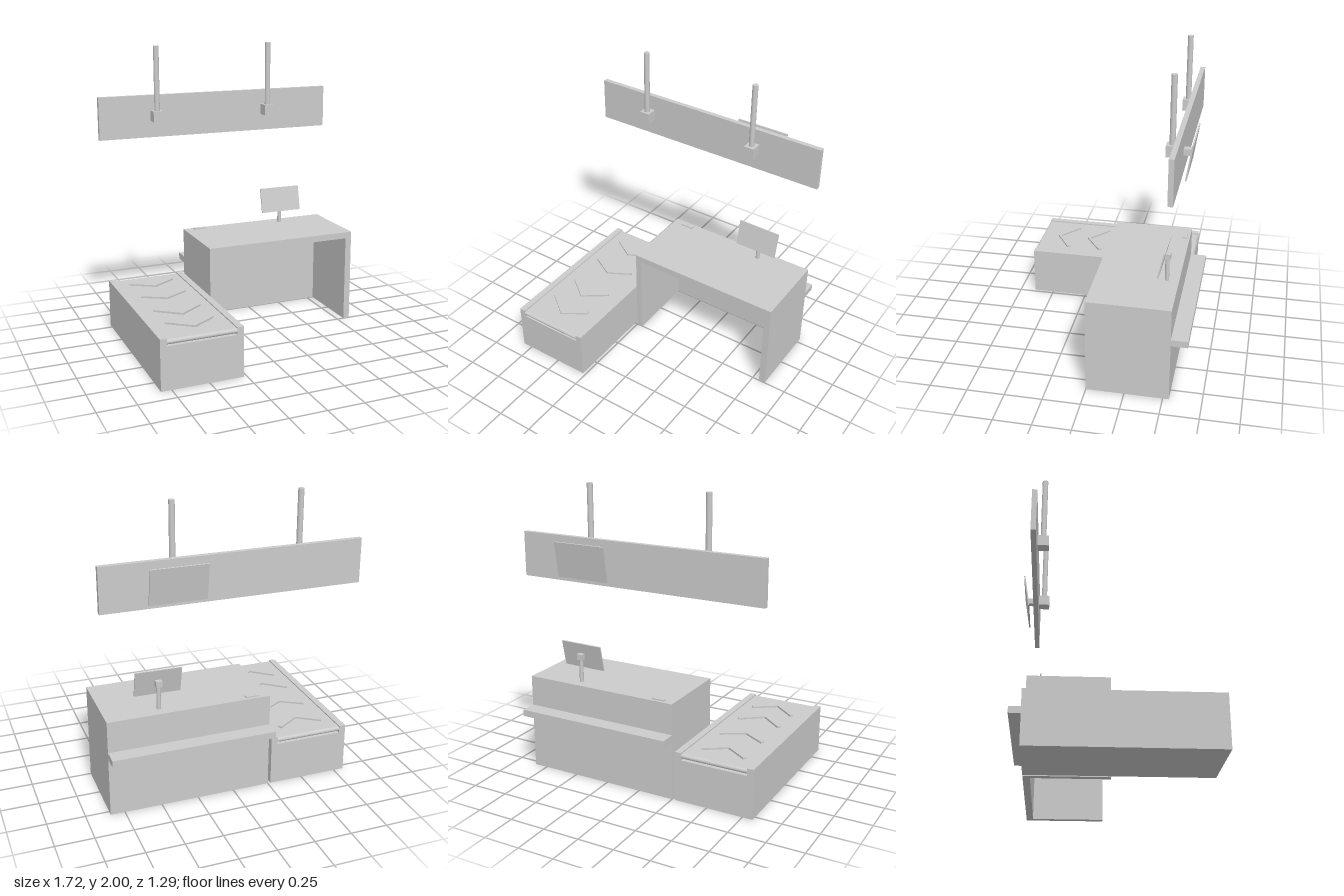
import * as THREE from 'three';

const grey = new THREE.MeshStandardMaterial({ color: 0xcccccc });

export function createModel() {
  const root = new THREE.Group();
  root.name = 'checkInDesk';

  const add = (parent, name, geometry, x = 0, y = 0, z = 0) => {
    const mesh = new THREE.Mesh(geometry, grey);
    mesh.name = name;
    mesh.position.set(x, y, z);
    parent.add(mesh);
    return mesh;
  };
  // Box given by its limits on each axis
  const box = (parent, name, x0, x1, y0, y1, z0, z1) =>
    add(parent, name, new THREE.BoxGeometry(x1 - x0, y1 - y0, z1 - z0),
      (x0 + x1) / 2, (y0 + y1) / 2, (z0 + z1) / 2);
  const group = (name) => {
    const g = new THREE.Group();
    g.name = name;
    root.add(g);
    return g;
  };
  const shapeOf = (points) => new THREE.Shape(points.map(([x, y]) => new THREE.Vector2(x, y)));

  // Desk: an upside-down U of panels, closed at the back
  const desk = group('desk');
  const frame = shapeOf([[-0.25, 0], [-0.205, 0], [-0.205, 0.615], [0.8, 0.615],
    [0.8, 0], [0.845, 0], [0.845, 0.66], [-0.25, 0.66]]);
  add(desk, 'deskFrame', new THREE.ExtrudeGeometry(frame, { depth: 0.495, bevelEnabled: false }), 0, 0, -0.495);
  box(desk, 'backPanel', -0.25, 0.845, 0, 0.66, -0.54, -0.495);
  box(desk, 'rearShelf', -0.25, 0.845, 0.405, 0.45, -0.648, -0.54);
  box(desk, 'deskPad', -0.18, -0.09, 0.66, 0.668, -0.52, -0.49);

  // Desk monitor on a post
  const monitor = group('deskMonitor');
  add(monitor, 'monitorPost', new THREE.CylinderGeometry(0.014, 0.014, 0.16, 24), 0.485, 0.74, -0.461);
  box(monitor, 'monitorMount', 0.465, 0.505, 0.815, 0.855, -0.482, -0.445);
  const screen = add(monitor, 'monitorScreen', new THREE.BoxGeometry(0.306, 0.18, 0.009), 0.482, 0.838, -0.442);
  screen.rotation.set(-0.22, -0.02, 0);

  // Conveyor: trough with side rails, and a round-ended belt inside
  const conveyor = group('conveyor');
  const trough = shapeOf([[-0.82, 0], [-0.27, 0], [-0.27, 0.34], [-0.315, 0.34],
    [-0.315, 0.29], [-0.775, 0.29], [-0.775, 0.34], [-0.82, 0.34]]);
  add(conveyor, 'conveyorBody', new THREE.ExtrudeGeometry(trough, { depth: 1.18, bevelEnabled: false }), 0, 0, -0.54);
  const r = 0.0165, half = 0.592 - r;
  const section = new THREE.Shape();
  section.absarc(half, 0, r, -Math.PI / 2, Math.PI / 2);
  section.absarc(-half, 0, r, Math.PI / 2, Math.PI * 1.5);
  const beltGeometry = new THREE.ExtrudeGeometry(section, { depth: 0.46, bevelEnabled: false, curveSegments: 12 });
  beltGeometry.translate(0, 0, -0.23).rotateY(-Math.PI / 2);
  add(conveyor, 'belt', beltGeometry, -0.545, 0.3155, 0.052);

  // Chevron ridges: [left end z, apex z, right end z]
  const chevrons = [[-0.41, -0.31, -0.41], [-0.135, -0.045, -0.135], [0.15, 0.275, 0.16], [0.38, 0.505, 0.4]];
  for (const [zl, za, zr] of chevrons) {
    const w = 0.011;
    const vee = shapeOf([[-0.695, -zl + w], [-0.708, -zl - w], [-0.547, -za - w],
      [-0.385, -zr - w], [-0.397, -zr + w], [-0.547, -za + w]]);
    const geometry = new THREE.ExtrudeGeometry(vee, { depth: 0.014, bevelEnabled: false });
    add(conveyor, 'chevron', geometry.rotateX(-Math.PI / 2), 0, 0.33, 0);
  }

  // Hanging sign board on two ceiling poles
  const sign = group('overheadSign');
  box(sign, 'signBoard', -0.86, 0.857, 1.365, 1.66, -0.528, -0.495);
  for (const x of [-0.457, 0.38]) {
    add(sign, 'ceilingPole', new THREE.CylinderGeometry(0.019, 0.019, 0.46, 32), x, 1.77, -0.457);
    box(sign, 'poleBlock', x - 0.037, x + 0.037, 1.48, 1.555, -0.495, -0.42);
  }

  // Tilted display behind the board
  box(sign, 'displayMount', 0.358, 0.402, 1.495, 1.537, -0.58, -0.528);
  const display = add(sign, 'display', new THREE.BoxGeometry(0.37, 0.236, 0.009), 0.38, 1.515, -0.582);
  display.rotation.x = -0.155;

  return root;
}
